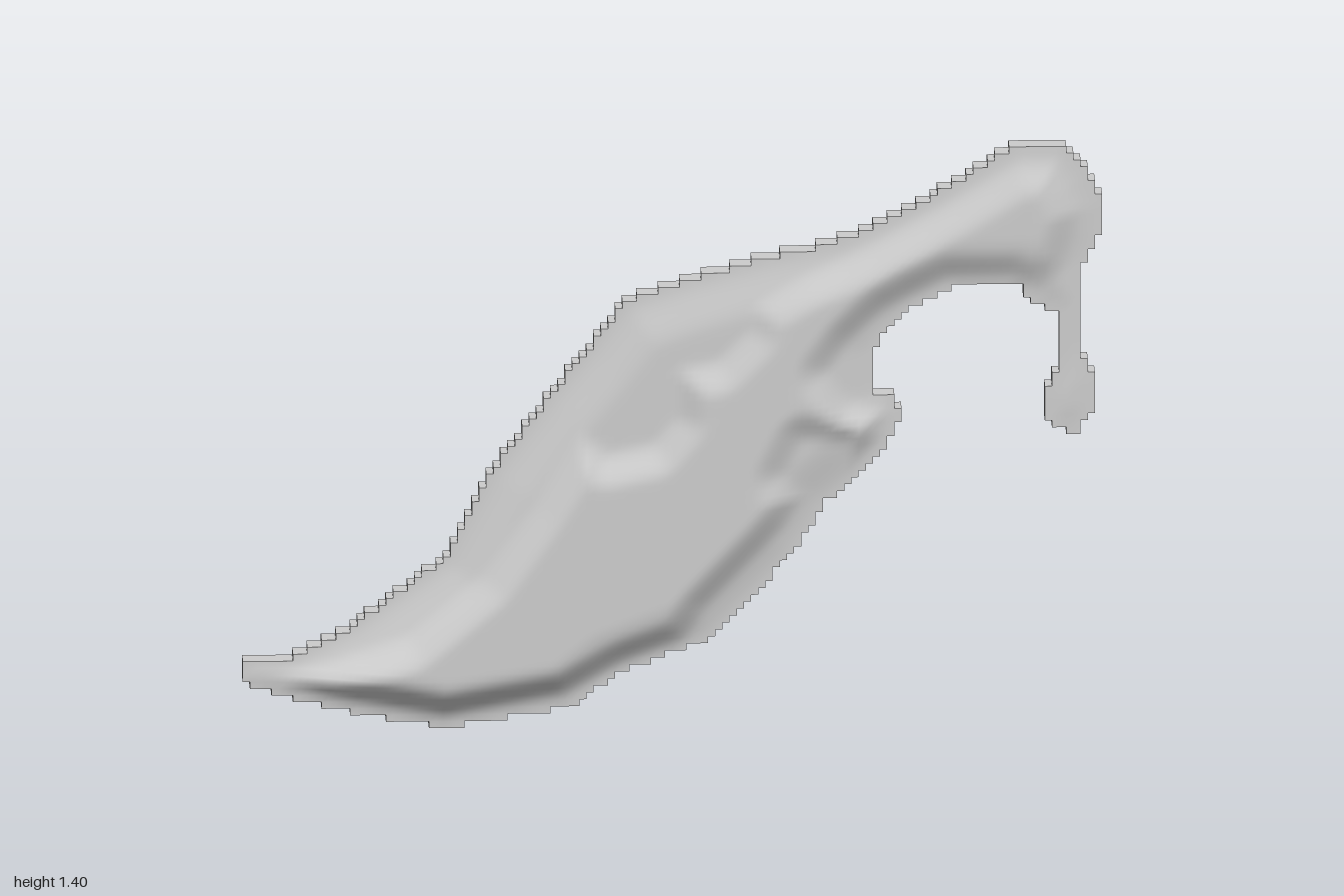
import * as THREE from 'three';

const STEP = 1 / 60, NX = 120, NY = 84;

// Silhouette of blade, handle and hanging drop
const OUTLINE = [
  [-1.01, 0.12], [-1, 0.16], [-0.9, 0.165], [-0.76, 0.24], [-0.68, 0.3], [-0.53, 0.41], [-0.42, 0.62],
  [-0.29, 0.8], [-0.2, 0.91], [-0.11, 1.03], [0.03, 1.08], [0.2, 1.13], [0.38, 1.17], [0.57, 1.26],
  [0.7, 1.34], [0.8, 1.405], [0.91, 1.405], [0.97, 1.33], [1.005, 1.25], [0.99, 1.18], [0.955, 1.11],
  [0.95, 0.91], [0.98, 0.83], [0.975, 0.75], [0.93, 0.69], [0.875, 0.74], [0.87, 0.8], [0.905, 0.88],
  [0.905, 1.0], [0.85, 1.01], [0.81, 1.06], [0.66, 1.06], [0.57, 1.02], [0.5, 0.96], [0.46, 0.9],
  [0.46, 0.81], [0.51, 0.8], [0.53, 0.75], [0.5, 0.68], [0.43, 0.6], [0.355, 0.54], [0.275, 0.41],
  [0.17, 0.3], [0.09, 0.21], [0, 0.18], [-0.13, 0.13], [-0.23, 0.05], [-0.53, 0.0], [-0.74, 0.04], [-0.9, 0.08],
];

// Edge of the thick body inside the silhouette; the strip outside it is thinner
const BODY = [
  [-0.97, 0.13], [-0.8, 0.17], [-0.62, 0.24], [-0.45, 0.38], [-0.33, 0.55], [-0.22, 0.73], [-0.15, 0.68],
  [-0.05, 0.7], [0, 0.76], [0, 0.88], [0.1, 0.9], [0.17, 0.97], [0.18, 1.03], [0.3, 1.1], [0.45, 1.17],
  [0.65, 1.28], [0.8, 1.37], [0.9, 1.37], [0.96, 1.24], [0.92, 1.1], [0.85, 1.04], [0.78, 1.07],
  [0.64, 1.07], [0.5, 1.0], [0.42, 0.93], [0.37, 0.86], [0.42, 0.79], [0.5, 0.76], [0.49, 0.69],
  [0.41, 0.61], [0.39, 0.68], [0.31, 0.69], [0.27, 0.61], [0.31, 0.55], [0.27, 0.48], [0.08, 0.28],
  [0.04, 0.2], [-0.1, 0.15], [-0.25, 0.07], [-0.53, 0.02], [-0.8, 0.07],
];

function inside(poly, x, y) {
  let hit = false;
  poly.forEach(([ax, ay], i) => {
    const [bx, by] = poly[(i + 1) % poly.length];
    if ((ay > y) !== (by > y) && x < ax + ((y - ay) * (bx - ax)) / (by - ay)) hit = !hit;
  });
  return hit;
}

// Distance from the polygon edge, zero outside
function depth(poly, x, y) {
  if (!inside(poly, x, y)) return 0;
  let best = Infinity;
  poly.forEach(([ax, ay], i) => {
    const [bx, by] = poly[(i + 1) % poly.length];
    const dx = bx - ax, dy = by - ay;
    const t = THREE.MathUtils.clamp(((x - ax) * dx + (y - ay) * dy) / (dx * dx + dy * dy), 0, 1);
    best = Math.min(best, Math.hypot(x - ax - t * dx, y - ay - t * dy));
  });
  return best;
}

function mesh(name, positions, index) {
  const g = new THREE.BufferGeometry();
  g.setAttribute('position', new THREE.Float32BufferAttribute(positions, 3));
  g.setIndex(index);
  g.computeVertexNormals();
  const m = new THREE.Mesh(g, new THREE.MeshStandardMaterial({ color: 0xcccccc, side: THREE.DoubleSide }));
  m.name = name;
  return m;
}

export function createModel() {
  const smooth = THREE.MathUtils.smoothstep;
  const id = (i, j) => j * (NX + 1) + i;

  // Swelling of the surface, 0 at the rim and 1 on the thick body
  const front = [], back = [];
  for (let j = 0; j <= NY; j++) {
    for (let i = 0; i <= NX; i++) {
      const x = -1 + i * STEP, y = j * STEP;
      const swell = 0.4 * smooth(depth(OUTLINE, x, y), 0, 0.13) + 0.6 * smooth(depth(BODY, x, y), 0, 0.09);
      front.push(x, y, 0.002 + (0.055 - 0.026 * x) * swell);
      back.push(x, y, -0.05 - (0.024 - 0.013 * x) * swell);
    }
  }

  // Square cells inside the silhouette give the stepped edge
  const filled = (i, j) => i >= 0 && j >= 0 && i < NX && j < NY
    && inside(OUTLINE, -1 + (i + 0.5) * STEP, (j + 0.5) * STEP);
  const frontIndex = [], backIndex = [], wall = [], wallIndex = [];
  for (let j = 0; j < NY; j++) {
    for (let i = 0; i < NX; i++) {
      if (!filled(i, j)) continue;
      const c = [id(i, j), id(i + 1, j), id(i + 1, j + 1), id(i, j + 1)];
      frontIndex.push(c[0], c[1], c[2], c[0], c[2], c[3]);
      backIndex.push(c[0], c[2], c[1], c[0], c[3], c[2]);
      // Wall joining front and back wherever the neighbour is empty
      [[0, -1], [1, 0], [0, 1], [-1, 0]].forEach(([di, dj], k) => {
        if (filled(i + di, j + dj)) return;
        const a = c[k] * 3, b = c[(k + 1) % 4] * 3, n = wall.length / 3;
        wall.push(...back.slice(a, a + 3), ...back.slice(b, b + 3), ...front.slice(b, b + 3), ...front.slice(a, a + 3));
        wallIndex.push(n, n + 1, n + 2, n, n + 2, n + 3);
      });
    }
  }

  const group = new THREE.Group();
  group.name = 'curvedBlade';
  group.add(
    mesh('frontFace', front, frontIndex),
    mesh('backFace', back, backIndex),
    mesh('steppedRim', wall, wallIndex),
  );
  // Drop grid points that no face uses
  group.children.forEach((m) => {
    m.geometry = m.geometry.toNonIndexed();
  });
  return group;
}
